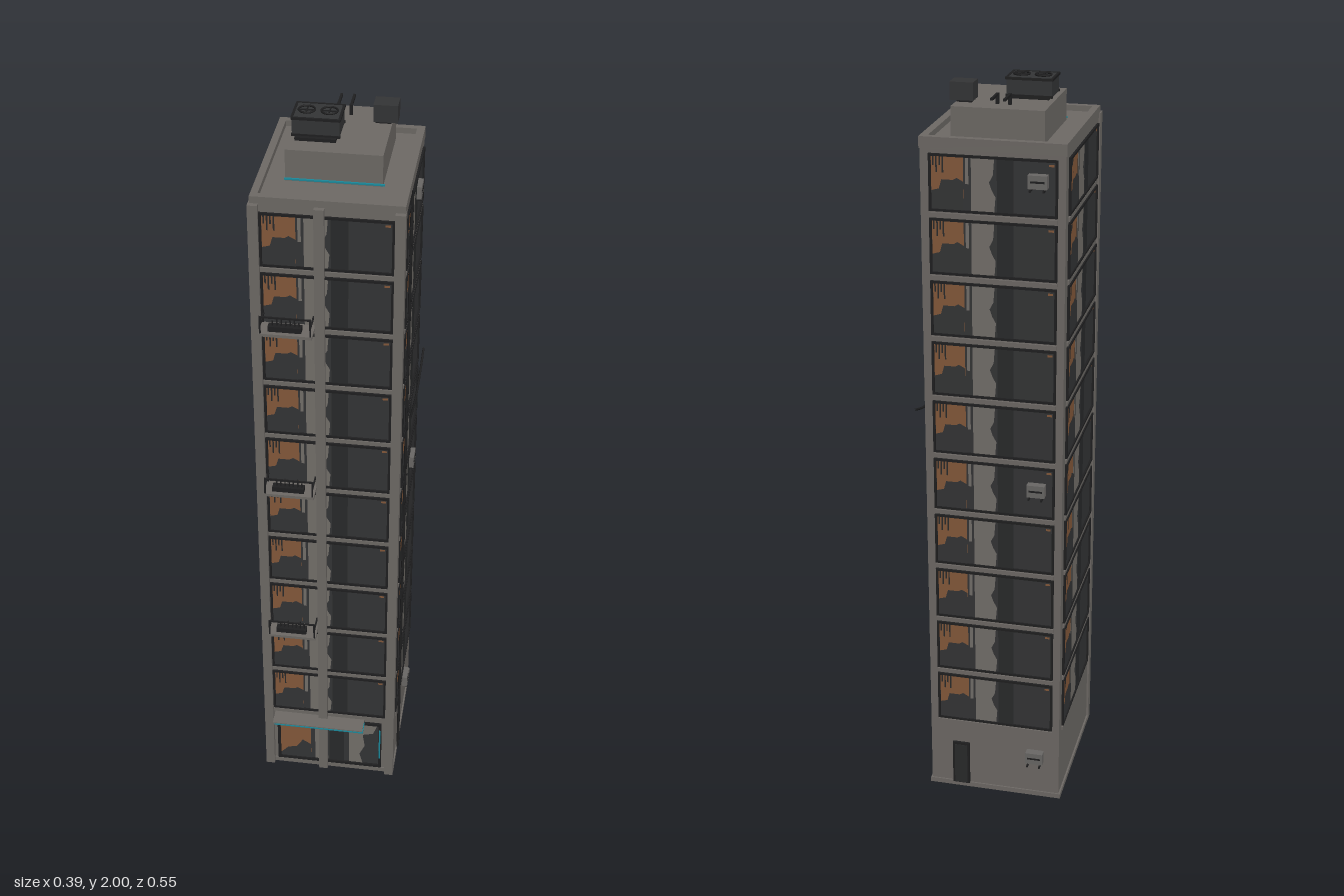
import * as THREE from 'three';

const mat = (name, color, side = THREE.FrontSide) => {
  const m = new THREE.MeshStandardMaterial({ color, side });
  m.name = name;
  return m;
};

export function createModel() {
  const wall = mat('concrete', 0x6e6a66);
  const glass = mat('dark glass', 0x343536);
  const shade = mat('interior shadow', 0x292a2b);
  const metal = mat('black metal', 0x1f1f20);
  const orange = mat('warm interior', 0x85593b);
  const curtain = mat('curtain', 0x74706b);
  const cyan = mat('cyan light', 0x1b8a9c);
  const unitGrey = mat('unit casing', 0x6a6866);
  const root = new THREE.Group();
  root.name = 'tower';

  const add = (parent, name, geo, m) => {
    const mesh = new THREE.Mesh(geo, m);
    mesh.name = name;
    parent.add(mesh);
    return mesh;
  };
  // box given by its min and max on each axis
  const box = (parent, name, m, x0, x1, y0, y1, z0, z1) => {
    const mesh = add(parent, name, new THREE.BoxGeometry(x1 - x0, y1 - y0, z1 - z0), m);
    mesh.position.set((x0 + x1) / 2, (y0 + y1) / 2, (z0 + z1) / 2);
    return mesh;
  };
  const group = (parent, name, x = 0, y = 0, z = 0, ry = 0) => {
    const g = new THREE.Group();
    g.name = name;
    g.position.set(x, y, z);
    g.rotation.y = ry;
    parent.add(g);
    return g;
  };
  const tube = (parent, name, m, r, pts) => add(parent, name, new THREE.TubeGeometry(
    new THREE.CatmullRomCurve3(pts.map(p => new THREE.Vector3(...p))), 24, r, 6), m);

  // main body, plinth and parapet
  box(root, 'body', wall, -0.189, 0.178, 0, 1.86, -0.213, 0.213);
  box(root, 'plinth', wall, -0.194, 0.182, 0, 0.014, -0.217, 0.217);
  box(root, 'parapetFront', wall, -0.191, 0.18, 1.845, 1.875, 0.197, 0.215);
  box(root, 'parapetBack', wall, -0.191, 0.18, 1.845, 1.875, -0.215, -0.197);
  box(root, 'parapetRight', wall, -0.191, -0.173, 1.845, 1.875, -0.197, 0.197);
  box(root, 'parapetLeft', wall, 0.16, 0.18, 1.845, 1.875, -0.197, 0.197);

  // front pilasters
  for (const x of [-0.182, -0.024, 0.169])
    box(root, 'pilaster', wall, x - 0.0125, x + 0.0125, 0, 1.857, 0.2, 0.228);

  // window parts are placed as fractions of the opening
  const panel = (parent, name, m, W, H, z, pts) => {
    const s = new THREE.Shape(pts.map(([u, v]) => new THREE.Vector2((u - 0.5) * W, v * H)));
    add(parent, name, new THREE.ShapeGeometry(s), m).position.z = z;
  };
  const rect = (a, b, c, d) => [[a, c], [b, c], [b, d], [a, d]];
  const frame = (g, W, H, t, d) => {
    box(g, 'frameSill', metal, -W / 2, W / 2, 0, t, 0, d);
    box(g, 'frameHead', metal, -W / 2, W / 2, H - t, H, 0, d);
    for (const s of [-1, 1])
      box(g, 'frameJamb', metal, s * (W / 2 - t / 2) - t / 2, s * (W / 2 - t / 2) + t / 2, t, H - t, 0, d);
  };
  const buildWindow = (g, W, H) => {
    panel(g, 'glass', glass, W, H, 0.001, rect(0, 1, 0, 1));
    panel(g, 'warmRoom', orange, W, H, 0.002, rect(0.02, 0.27, 0.05, 0.96));
    panel(g, 'furniture', glass, W, H, 0.003, [[0.02, 0.04], [0.27, 0.04], [0.27, 0.54],
      [0.22, 0.6], [0.19, 0.56], [0.1, 0.56], [0.08, 0.4], [0.02, 0.36]]);
    for (let i = 0; i < 4; i++)
      panel(g, 'hanging', shade, W, H, 0.003, rect(0.03 + i * 0.025, 0.042 + i * 0.025, 0.8 - (i % 2) * 0.12, 0.96));
    panel(g, 'curtain', curtain, W, H, 0.002, [[0.33, 0.04], [0.51, 0.04], [0.52, 0.3],
      [0.49, 0.42], [0.47, 0.55], [0.5, 0.68], [0.51, 0.96], [0.33, 0.96]]);
    panel(g, 'curtainStrip', curtain, W, H, 0.002, rect(0.285, 0.31, 0.5, 0.96));
    panel(g, 'darkRoom', shade, W, H, 0.002, rect(0.53, 0.66, 0.04, 0.96));
    panel(g, 'smallLamp', orange, W, H, 0.002, rect(0.93, 0.97, 0.88, 0.92));
    frame(g, W, H, 0.006, 0.006);
  };

  // ten floors of windows on all four faces
  const faces = [
    ['front', -0.007, 0.213, 0, 0.325],
    ['left', 0.178, 0.004, Math.PI / 2, 0.37],
    ['back', -0.007, -0.213, Math.PI, 0.325],
    ['right', -0.189, 0, -Math.PI / 2, 0.365],
  ];
  for (const [name, x, z, ry, W] of faces)
    for (let i = 0; i < 10; i++) {
      const g = group(root, name + 'Window', x, 0.22 + i * 0.1633, z, ry);
      buildWindow(g, W, 0.145);
      box(g, 'floorBand', wall, -W / 2, W / 2, -0.015, -0.004, 0, 0.004);
    }

  // ground floor shopfront
  const shop = group(root, 'shopfront', -0.007, 0.018, 0.213);
  const SW = 0.305, SH = 0.175;
  panel(shop, 'shopGlass', glass, SW, SH, 0.001, rect(0, 1, 0, 1));
  panel(shop, 'shopWarmRoom', orange, SW, SH, 0.002, rect(0.02, 0.32, 0.04, 0.95));
  panel(shop, 'shopCounter', glass, SW, SH, 0.003, [[0.02, 0.04], [0.32, 0.04], [0.32, 0.36],
    [0.24, 0.45], [0.18, 0.28], [0.1, 0.25], [0.02, 0.1]]);
  panel(shop, 'shopCurtain', curtain, SW, SH, 0.002, rect(0.36, 0.43, 0.04, 0.95));
  panel(shop, 'doorway', shade, SW, SH, 0.002, rect(0.5, 0.64, 0.04, 0.95));
  panel(shop, 'shopCurtain', curtain, SW, SH, 0.002, [[0.69, 0.04], [0.82, 0.04], [0.79, 0.25],
    [0.84, 0.45], [0.82, 0.7], [0.92, 0.75], [0.96, 0.95], [0.69, 0.95]]);
  frame(shop, SW, SH, 0.008, 0.007);
  box(root, 'canopy', wall, -0.165, 0.095, 0.196, 0.204, 0.213, 0.264);
  box(root, 'canopyLight', cyan, -0.16, 0.097, 0.197, 0.201, 0.225, 0.2655);
  box(root, 'doorLight', cyan, 0.139, 0.143, 0.06, 0.17, 0.213, 0.224);

  // front balconies with railing and planter
  for (const y of [0.545, 1.035, 1.525]) {
    const b = group(root, 'balcony', 0, y, 0);
    box(b, 'balconySlab', wall, -0.168, -0.036, 0, 0.008, 0.213, 0.272);
    box(b, 'planter', metal, -0.147, -0.064, 0.008, 0.022, 0.24, 0.26);
    for (let i = 0; i < 7; i++)
      box(b, 'plant', metal, -0.138 + i * 0.011, -0.135 + i * 0.011, 0.022, 0.034 + (i % 3) * 0.005, 0.248, 0.252);
    box(b, 'handrail', metal, -0.166, -0.038, 0.052, 0.056, 0.267, 0.271);
    for (let i = 0; i < 2; i++) {
      const x = -0.166 + i * 0.124;
      box(b, 'railPost', metal, x, x + 0.004, 0.008, 0.054, 0.267, 0.271);
      box(b, 'sideRail', metal, x, x + 0.004, 0.03, 0.034, 0.213, 0.27);
    }
  }

  // wall cooling units on the left side and back
  const coolers = [['side', 0.178, -0.055, Math.PI / 2, 0.014], ['back', -0.122, -0.213, Math.PI, 0.022]];
  for (const [name, x, z, ry, d] of coolers)
    for (const y of [0.115, 0.94, 1.765]) {
      const c = group(root, name + 'Cooler', x, y, z, ry);
      box(c, 'coolerCase', unitGrey, -0.024, 0.024, 0, 0.034, 0, d);
      box(c, 'coolerGrille', metal, -0.018, 0.018, 0.015, 0.02, d, d + 0.001);
      for (const s of [-1, 1])
        box(c, 'coolerBracket', metal, s * 0.017 - 0.002, s * 0.017 + 0.002, -0.006, 0, 0, d + (name === 'back' ? 0.009 : 0));
    }

  // back door
  box(root, 'backDoor', metal, 0.067, 0.115, 0.012, 0.145, -0.22, -0.213);
  box(root, 'backDoorLeaf', shade, 0.073, 0.109, 0.014, 0.138, -0.2215, -0.22);

  // drain pipes and sagging cable on the left side
  for (const z of [0.102, 0.128]) {
    tube(root, 'drainPipe', metal, 0.003, [[0.184, 0.02, z], [0.184, 1.86, z]]);
    for (let i = 0; i < 5; i++)
      box(root, 'pipeClip', metal, 0.178, 0.187, 0.25 + i * 0.38, 0.256 + i * 0.38, z - 0.005, z + 0.005);
  }
  tube(root, 'cable', metal, 0.003, [[0.188, 1.17, 0.063], [0.188, 1.149, -0.02],
    [0.188, 1.139, -0.1], [0.188, 1.15, -0.19], [0.188, 1.175, -0.273]]);

  // roof block with its light strip
  box(root, 'roofBlock', wall, -0.125, 0.111, 1.858, 1.941, -0.166, 0.096);
  box(root, 'roofLight', cyan, -0.127, 0.116, 1.864, 1.868, 0.096, 0.101);

  // roof ventilator with two fans
  box(root, 'ventStand', metal, -0.11, -0.01, 1.941, 1.949, -0.05, 0.045);
  box(root, 'ventCase', glass, -0.118, -0.003, 1.948, 1.994, -0.056, 0.032);
  for (const z of [-0.055, 0.031])
    for (const y of [1.95, 1.992])
      box(root, 'ventEdge', metal, -0.12, -0.001, y - 0.003, y + 0.003, z - 0.003, z + 0.003);
  for (const x of [-0.118, -0.003])
    box(root, 'ventSideEdge', metal, x - 0.003, x + 0.003, 1.989, 1.995, -0.056, 0.032);
  for (const x of [-0.088, -0.033]) {
    const f = group(root, 'fan', x, 1.994, -0.013);
    const ring = add(f, 'fanRing', new THREE.TorusGeometry(0.02, 0.0025, 6, 20), metal);
    ring.rotation.x = Math.PI / 2;
    ring.position.y = 0.003;
    box(f, 'fanBlade', metal, -0.02, 0.02, 0, 0.003, -0.0015, 0.0015);
    box(f, 'fanBlade', metal, -0.0015, 0.0015, 0, 0.003, -0.02, 0.02);
  }

  // small roof box on legs
  box(root, 'roofBox', glass, 0.065, 0.125, 1.946, 1.991, -0.121, -0.072);
  box(root, 'roofBoxBase', metal, 0.07, 0.109, 1.94, 1.947, -0.116, -0.077);

  // bent roof pipes
  for (const x of [-0.027, 0.005]) {
    box(root, 'roofPipePost', metal, x - 0.004, x + 0.004, 1.941, 1.968, -0.12, -0.112);
    box(root, 'roofPipe', metal, x - 0.003, x + 0.003, 1.962, 1.968, -0.177, -0.112);
  }
  return root;
}
